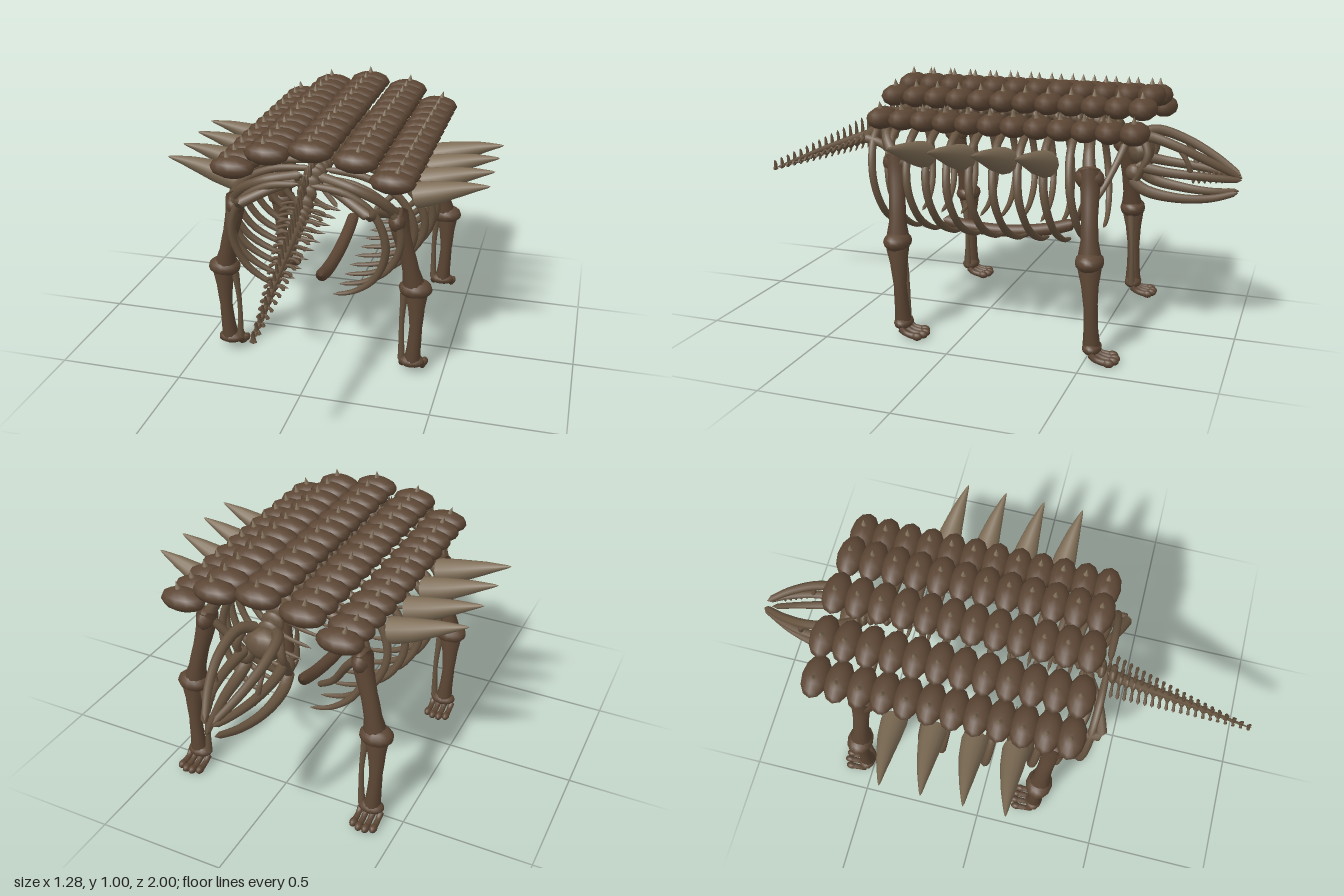
import * as THREE from 'three';

const mat = (color) => new THREE.MeshStandardMaterial({ color, side: THREE.DoubleSide });
const boneMat = mat(0x66533f), darkMat = mat(0x5c4634), hornMat = mat(0x7d6c55);
const V = (p) => new THREE.Vector3(...p);

export function createModel() {
  const model = new THREE.Group();

  const add = (name, geo, material, pos = [0, 0, 0], scale = [1, 1, 1], rotZ = 0) => {
    const m = new THREE.Mesh(geo, material);
    m.name = name;
    m.position.set(...pos);
    m.scale.set(...scale);
    m.rotation.z = rotZ;
    model.add(m);
    return m;
  };

  // round-ended bone swept along a curve, its radius interpolated from a list
  const bone = (name, points, radii, material = boneMat, segs = 20, sides = 8) => {
    const curve = new THREE.CatmullRomCurve3(points.map(V));
    const geo = new THREE.TubeGeometry(curve, segs, 1, sides, false);
    const pos = geo.attributes.position, p = new THREE.Vector3();
    for (let i = 0; i <= segs; i++) {
      const u = i / segs, c = curve.getPointAt(u);
      const f = u * (radii.length - 1), k = Math.min(Math.floor(f), radii.length - 2);
      const r = THREE.MathUtils.lerp(radii[k], radii[k + 1], f - k) *
        Math.sqrt(Math.max(0, 1 - Math.abs(2 * u - 1) ** 24));
      for (let j = 0; j <= sides; j++) {
        const n = i * (sides + 1) + j;
        p.fromBufferAttribute(pos, n).sub(c).multiplyScalar(r).add(c);
        pos.setXYZ(n, p.x, p.y, p.z);
      }
    }
    return add(name, geo, material);
  };
  const ball = new THREE.SphereGeometry(1, 12, 8);
  const flip = (pts, s) => pts.map(([x, y, z]) => [x * s, y, z]);

  // armour: twelve rows of five spiked plates
  const plateGeo = new THREE.SphereGeometry(1, 12, 6);
  const studGeo = new THREE.ConeGeometry(0.017, 0.045, 8);
  for (let row = 0; row < 12; row++) {
    const z = -0.64 + row * 0.088;
    for (const [x, y, tilt] of [[0, 0.934, 0], [0.168, 0.909, 0.12], [0.305, 0.843, 0.22]]) {
      for (const s of x ? [-1, 1] : [1]) {
        add('armourPlate', plateGeo, darkMat, [s * x, y, z], [0.088, 0.042, 0.054]);
        add('plateSpike', studGeo, hornMat,
          [s * (x + tilt * 0.09), y + 0.045, z], [1, 1, 1], -s * tilt);
      }
    }
  }

  // backbone under the armour
  bone('backbone', [[0, 0.73, -0.62], [0, 0.8, -0.52], [0, 0.83, -0.35], [0, 0.83, 0.25], [0, 0.76, 0.42]],
    [0.022, 0.022, 0.022]);
  for (let i = 0; i < 22; i++) {
    const z = -0.5 + i * 0.044, y = z > 0.3 ? 0.83 - (z - 0.3) * 0.5 : z < -0.4 ? 0.83 + (z + 0.4) * 0.3 : 0.83;
    add('vertebra', ball, boneMat, [0, y, z], [0.038, 0.034, 0.017]);
    add('vertebraSpine', ball, boneMat, [0, y + 0.035, z], [0.008, 0.04, 0.011]);
  }
  for (let i = 0; i < 4; i++)
    add('neckVertebra', ball, boneMat, [0, 0.80 - i * 0.02, -0.52 - i * 0.03], [0.045, 0.042, 0.018]);

  // tail: shrinking vertebrae with upright spines and side processes
  bone('tailCore', [[0, 0.76, 0.38], [0, 0.65, 0.7], [0, 0.525, 0.998]], [0.026, 0.014, 0.004]);
  for (let i = 0; i < 21; i++) {
    const t = i / 20, k = 1 - t * 0.93;
    const z = 0.405 + 0.59 * (1 - (1 - t) * (1 + 0.12 * t)), y = 0.755 - 0.23 * t;
    add('tailVertebra', ball, boneMat, [0, y, z], [0.034 * k, 0.034 * k, 0.014]);
    bone('tailSpine', [[0, y, z], [0, y + 0.045 * k + 0.015, z], [0, y + 0.085 * k + 0.03, z + 0.004]],
      [0.009, 0.007, 0.004], boneMat, 6, 6);
    bone('tailChevron', [[0, y, z], [0, y - 0.035 * k, z], [0, y - 0.06 * k - 0.004, z + 0.008]],
      [0.007, 0.005, 0.003], boneMat, 6, 6);
    for (const s of [-1, 1])
      bone('tailProcess', flip([[0, y, z], [0.05 * k, y + 0.005, z], [0.094 * k, y - 0.008, z + 0.003]], s),
        [0.007, 0.005, 0.008], boneMat, 8, 6);
  }

  // breastbone
  bone('breastbone', [[0, 0.37, 0.21], [0, 0.35, 0.1], [0, 0.347, -0.08], [0, 0.37, -0.24], [0, 0.405, -0.36]],
    [0.027, 0.026, 0.026, 0.026], darkMat, 24, 12);

  for (const s of [-1, 1]) {
    // ribs, widest in the middle of the chest
    for (let i = 0; i < 10; i++) {
      const z = 0.4 - i * 0.088, w = 0.28 + 0.13 * Math.sin(Math.PI * (i + 0.4) / 10);
      bone('rib', flip([
        [0.02, 0.83, z], [w * 0.5, 0.81, z], [w * 0.86, 0.735, z - 0.005], [w, 0.6, z - 0.02],
        [w * 0.86, 0.47, z - 0.04], [w * 0.5 + 0.02, 0.395, z - 0.055], [0.085, 0.37, z - 0.06],
      ], s), [0.013, 0.016, 0.016, 0.014, 0.007], boneMat, 28);
    }

    // curved flank horns
    for (const z of [-0.335, -0.18, -0.022, 0.135])
      bone('flankHorn', flip([[0.345, 0.72, z], [0.44, 0.745, z + 0.004], [0.55, 0.777, z + 0.015], [0.638, 0.798, z + 0.028]], s),
        [0.053, 0.044, 0.026, 0.003], hornMat, 24, 12);

    // hip and shoulder girdles
    bone('hipBone', flip([[0.03, 0.84, 0.33], [0.17, 0.815, 0.36], [0.27, 0.76, 0.33], [0.318, 0.68, 0.27]], s),
      [0.022, 0.019, 0.02, 0.026]);
    bone('hipRearBone', flip([[0.05, 0.82, 0.34], [0.15, 0.79, 0.4], [0.245, 0.745, 0.435]], s),
      [0.016, 0.018, 0.022]);
    bone('hipLowerBone', flip([[0.3, 0.7, 0.28], [0.255, 0.73, 0.36], [0.245, 0.745, 0.435]], s),
      [0.018, 0.016, 0.02]);
    bone('shoulderBlade', flip([[0.05, 0.82, -0.47], [0.18, 0.81, -0.46], [0.27, 0.76, -0.47], [0.318, 0.68, -0.485]], s),
      [0.02, 0.018, 0.02, 0.026]);
    bone('collarBone', flip([[0.31, 0.69, -0.49], [0.25, 0.62, -0.47], [0.17, 0.5, -0.42], [0.08, 0.42, -0.37]], s),
      [0.018, 0.015, 0.014, 0.012]);

    // legs, toes pointing towards the head
    for (const [name, z, lean] of [['hindLeg', 0.27, -0.03], ['frontLeg', -0.485, -0.025]]) {
      const kz = z + lean, az = kz - 0.015;
      bone(name + 'Upper', flip([[0.315, 0.72, z], [0.325, 0.64, z - 0.005], [0.36, 0.5, kz + 0.01], [0.385, 0.37, kz]], s),
        [0.042, 0.036, 0.031, 0.033, 0.05], darkMat, 24, 12);
      add(name + 'Head', ball, darkMat, [s * 0.318, 0.675, z], [0.036, 0.045, 0.056]);
      add(name + 'Joint', ball, darkMat, [s * 0.387, 0.385, kz], [0.066, 0.04, 0.053]);
      bone(name + 'Lower', flip([[0.39, 0.39, kz], [0.392, 0.22, kz - 0.008], [0.38, 0.03, az]], s),
        [0.05, 0.033, 0.025, 0.028, 0.036], darkMat, 24, 12);
      bone(name + 'Splint', flip([[0.345, 0.37, kz], [0.335, 0.22, kz - 0.012], [0.338, 0.04, az]], s),
        [0.018, 0.012, 0.01, 0.012, 0.016], boneMat);
      add(name + 'Ankle', ball, darkMat, [s * 0.378, 0.055, az], [0.052, 0.026, 0.036]);
      for (let i = 0; i < 4; i++) {
        const x = 0.338 + i * 0.027, reach = i % 3 ? 0 : 0.012;
        bone('toe', flip([[x, 0.045, az], [x, 0.025, az - 0.035 + reach], [x, 0.016, az - 0.075 + reach]], s),
          [0.014, 0.011, 0.013], darkMat, 10);
        add('toeTip', ball, darkMat, [s * x, 0.017, az - 0.082 + reach], [0.015, 0.016, 0.022]);
      }
    }

    // skull: paired bars that meet at the snout
    bone('browBar', flip([[0.03, 0.77, -0.58], [0.075, 0.79, -0.65], [0.085, 0.76, -0.76], [0.06, 0.705, -0.88], [0.015, 0.645, -0.985]], s),
      [0.022, 0.02, 0.018, 0.016, 0.012]);
    bone('cheekBar', flip([[0.08, 0.68, -0.6], [0.09, 0.665, -0.7], [0.08, 0.655, -0.82], [0.05, 0.645, -0.92], [0.015, 0.637, -0.99]], s),
      [0.022, 0.018, 0.016, 0.012]);
    bone('lowerJaw', flip([[0.08, 0.63, -0.58], [0.09, 0.59, -0.64], [0.085, 0.567, -0.76], [0.055, 0.567, -0.88], [0.015, 0.588, -0.98]], s),
      [0.024, 0.022, 0.018, 0.015, 0.011]);
    bone('eyeStrut', flip([[0.085, 0.75, -0.77], [0.088, 0.7, -0.8], [0.08, 0.655, -0.81]], s), [0.012, 0.009, 0.012]);
    bone('rearStrut', flip([[0.07, 0.785, -0.63], [0.09, 0.72, -0.65], [0.088, 0.62, -0.6]], s), [0.018, 0.014, 0.02]);
    add('jawJoint', ball, boneMat, [s * 0.08, 0.65, -0.6], [0.028, 0.034, 0.034]);
    for (let i = 0; i < 6; i++)
      add('tooth', ball, boneMat, [s * (0.078 - i * 0.008), 0.64, -0.82 - i * 0.02], [0.005, 0.015, 0.006]);
  }
  add('braincase', ball, boneMat, [0, 0.725, -0.61], [0.075, 0.062, 0.05]);
  return model;
}
